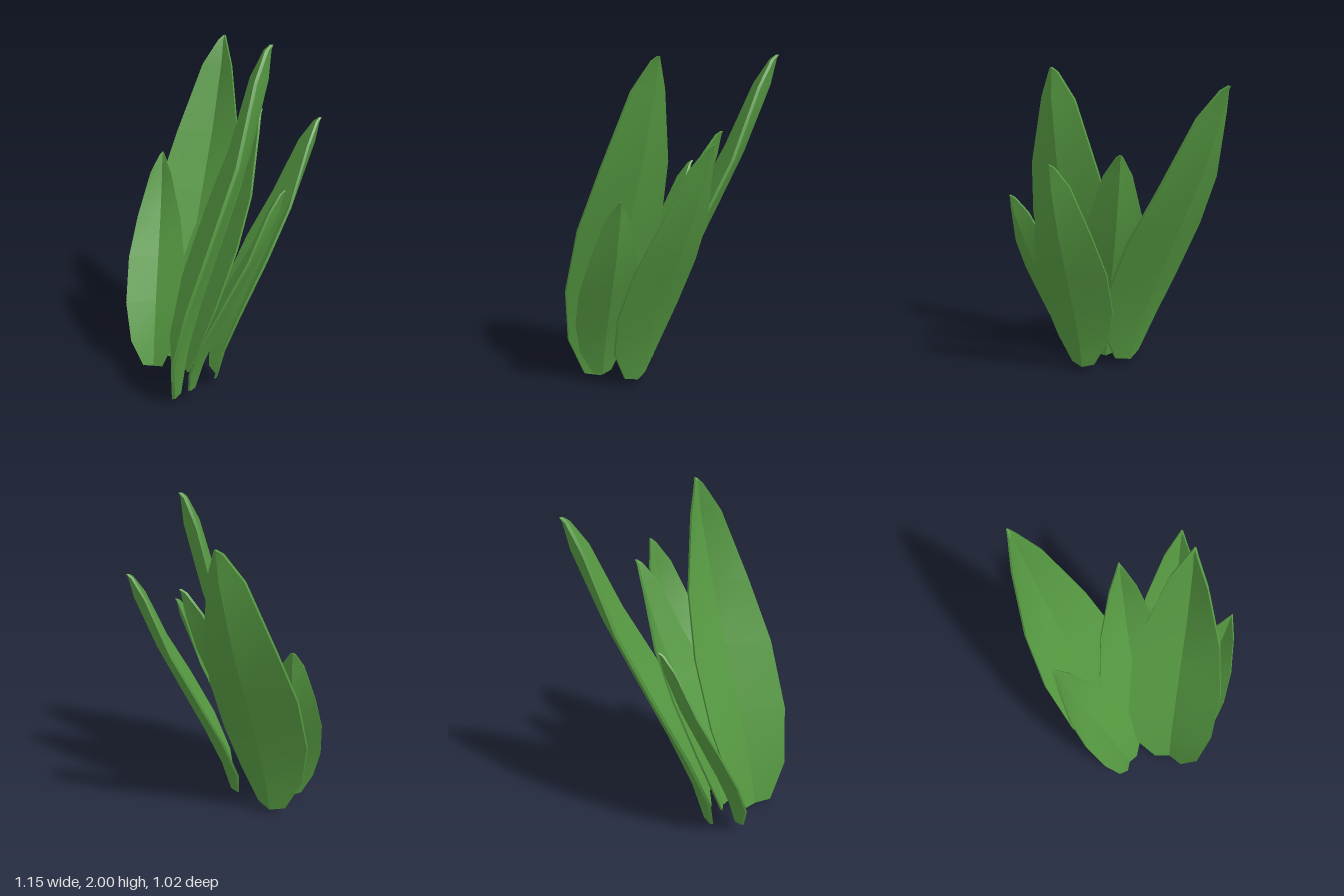
import * as THREE from 'three';
import { toCreasedNormals } from 'three/addons/utils/BufferGeometryUtils.js';

// Leaf cross-sections, base to tip, as fractions of leaf length:
// [position along, half width, forward bulge of the edges, depth of the centre fold]
const SECTIONS = [
  [0.000, 0.045, 0.020, 0.020],
  [0.135, 0.100, 0.053, 0.040],
  [0.310, 0.130, 0.058, 0.048],
  [0.515, 0.130, 0.042, 0.045],
  [0.700, 0.101, 0.023, 0.037],
  [0.910, 0.048, 0.025, 0.034],
  [0.987, 0.012, 0.013, 0.009],
  [1.000, 0.002, 0.003, 0.000],
];
const THICKNESS = 0.009;

// A thin folded blade from base to tip; turn is the heading of its width in the ground plane
function leafGeometry(base, tip, turn) {
  const start = new THREE.Vector3(...base);
  const along = new THREE.Vector3(...tip).sub(start);
  const size = along.length();
  const across = new THREE.Vector3(Math.cos(turn), 0, Math.sin(turn));
  const inward = new THREE.Vector3(-Math.sin(turn), 0, Math.cos(turn));
  const positions = [];
  const index = [];

  SECTIONS.forEach(([t, half, bulge, fold], row) => {
    const lift = row === 0 ? 0.01 : 0;
    // Inner left, middle, right, then outer right, middle, left
    [[-1, 0], [0, 0], [1, 0], [1, 1], [0, 1], [-1, 1]].forEach(([side, back]) => {
      const depth = bulge - (side === 0 ? fold : 0) - back * THICKNESS;
      const p = start.clone()
        .addScaledVector(along, t + Math.abs(side) * lift)
        .addScaledVector(across, side * half * size)
        .addScaledVector(inward, depth * size);
      positions.push(p.x, p.y, p.z);
    });
  });

  // Skin between neighbouring sections
  const quad = (a, b, c, d) => index.push(a, b, c, a, c, d);
  const last = (SECTIONS.length - 1) * 6;
  for (let r = 0; r < last; r += 6) {
    for (let j = 0; j < 6; j++) {
      const k = (j + 1) % 6;
      quad(r + j, r + k, r + 6 + k, r + 6 + j);
    }
  }
  // End caps
  quad(5, 4, 1, 0);
  quad(4, 3, 2, 1);
  quad(last, last + 1, last + 4, last + 5);
  quad(last + 1, last + 2, last + 3, last + 4);

  const geometry = new THREE.BufferGeometry();
  geometry.setAttribute('position', new THREE.Float32BufferAttribute(positions, 3));
  geometry.setIndex(index);
  return toCreasedNormals(geometry, 0.45);
}

export function createModel() {
  const group = new THREE.Group();
  group.name = 'leafyPlant';
  const green = new THREE.MeshStandardMaterial({ color: 0x569a42 });

  // name, base, tip, turn
  const leaves = [
    ['tallFrontLeaf', [0.14, 0.0, 0.37], [0.33, 2.0, -0.13], 0.61],
    ['tallBackLeaf', [-0.155, 0.03, 0.16], [-0.505, 1.95, -0.5], -0.45],
    ['middleLeaf', [-0.01, 0.04, 0.21], [0.01, 1.58, -0.36], 0.04],
    ['backLeaf', [0.16, 0.04, 0.1], [0.39, 1.58, -0.46], 0.48],
    ['shortRightLeaf', [-0.14, 0.05, 0.35], [-0.475, 1.28, 0.015], -0.76],
    ['shortLeftLeaf', [0.21, 0.05, 0.31], [0.57, 1.28, -0.03], 0.8],
  ];
  for (const [name, base, tip, turn] of leaves) {
    const leaf = new THREE.Mesh(leafGeometry(base, tip, turn), green);
    leaf.name = name;
    group.add(leaf);
  }
  return group;
}
